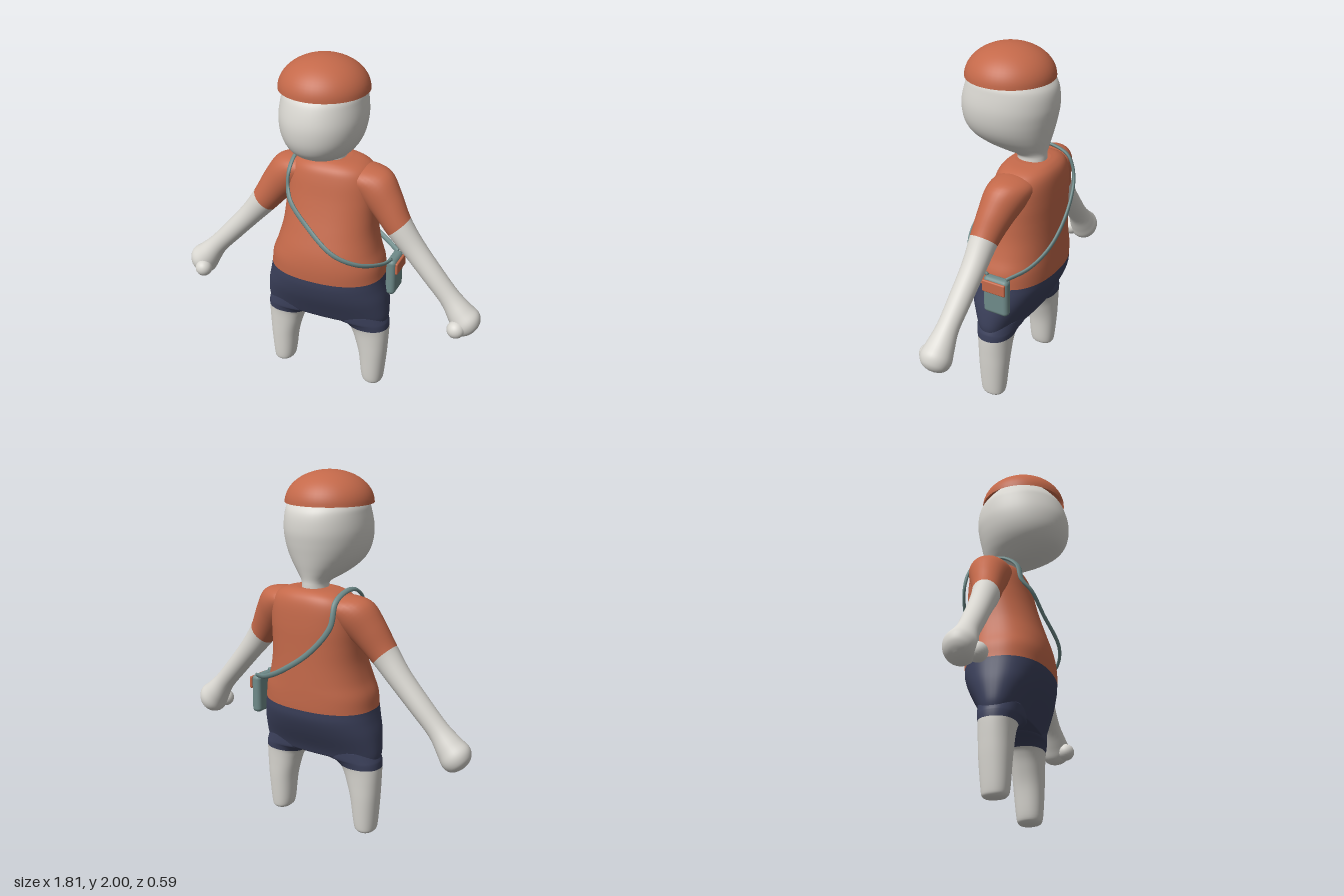
import * as THREE from 'three';
import { RoundedBoxGeometry } from 'three/addons/geometries/RoundedBoxGeometry.js';

const paint = (name, color) => {
  const m = new THREE.MeshStandardMaterial({ color });
  m.name = name;
  return m;
};

// Catmull-Rom smoothing of station rows, `steps` rows per interval
function smoothRows(rows, steps) {
  const out = [];
  for (let i = 0; i < rows.length - 1; i++) {
    const p0 = rows[Math.max(i - 1, 0)], p1 = rows[i], p2 = rows[i + 1];
    const p3 = rows[Math.min(i + 2, rows.length - 1)];
    for (let s = 0; s < steps; s++) {
      const t = s / steps;
      out.push(p1.map((b, k) => {
        const linear = p2[k] - p0[k];
        const square = 2 * p0[k] - 5 * b + 4 * p2[k] - p3[k];
        const cube = 3 * b - p0[k] - 3 * p2[k] + p3[k];
        return b + 0.5 * t * (linear + t * (square + t * cube));
      }));
    }
  }
  out.push(rows[rows.length - 1]);
  return out;
}

// Skin over rings of points; the material changes from 0 to 1 at ring `split`
function skinRings(rings, split = 0) {
  const n = rings[0].length, pos = [], idx = [];
  rings.forEach((r) => r.forEach((p) => pos.push(p.x, p.y, p.z)));
  const ends = [rings[0], rings[rings.length - 1]].map((r) => {
    const c = r.reduce((a, p) => a.add(p), new THREE.Vector3()).divideScalar(n);
    pos.push(c.x, c.y, c.z);
    return pos.length / 3 - 1;
  });
  let cut = 0;
  for (let j = 0; j < n; j++) idx.push(ends[0], (j + 1) % n, j);
  for (let i = 0; i < rings.length - 1; i++) {
    if (i === split) cut = idx.length;
    for (let j = 0; j < n; j++) {
      const a = i * n + j, b = i * n + (j + 1) % n;
      idx.push(a, b, b + n, a, b + n, a + n);
    }
  }
  const last = (rings.length - 1) * n;
  for (let j = 0; j < n; j++) idx.push(ends[1], last + j, last + (j + 1) % n);
  const g = new THREE.BufferGeometry();
  g.setAttribute('position', new THREE.Float32BufferAttribute(pos, 3));
  g.setIndex(idx);
  if (split) {
    g.addGroup(0, cut, 0);
    g.addGroup(cut, idx.length - cut, 1);
  }
  g.computeVertexNormals();
  return g;
}

// Loft of superellipses; station = [x, y, z, radiusU, radiusV, exponent]
const X = new THREE.Vector3(1, 0, 0), BACK = new THREE.Vector3(0, 0, -1);
function loft(stations, { u = X, v = BACK, split = 0, steps = 5, sides = 48 } = {}) {
  const rings = smoothRows(stations, steps).map(([x, y, z, ru, rv, e]) =>
    Array.from({ length: sides }, (_, j) => {
      const a = (j / sides) * Math.PI * 2, c = Math.cos(a), s = Math.sin(a);
      return new THREE.Vector3(x, y, z)
        .addScaledVector(u, ru * Math.sign(c) * Math.pow(Math.abs(c), 2 / e))
        .addScaledVector(v, rv * Math.sign(s) * Math.pow(Math.abs(s), 2 / e));
    }));
  return skinRings(rings, split * steps);
}

// [y, xMin, xMax, zFront, zBack] to a station
const slice = (e, side = 1) => ([y, x0, x1, zf, zb]) =>
  [side * (x0 + x1) / 2, y, (zf + zb) / 2, (x1 - x0) / 2, (zf - zb) / 2, e];
const centred = (e) => ([y, w, zf, zb]) => slice(e)([y, -w, w, zf, zb]);

export function createModel() {
  const skin = paint('skin', 0xd9d7d1);
  const orange = paint('orange cloth', 0xc4694a);
  const navy = paint('navy cloth', 0x3c415c);
  const teal = paint('teal leather', 0x6f8b8a);
  orange.side = THREE.DoubleSide; // the cap is an open shell

  const model = new THREE.Group();
  const add = (name, geometry, material, x = 0, y = 0, z = 0) => {
    const mesh = new THREE.Mesh(geometry, material);
    mesh.name = name;
    mesh.position.set(x, y, z);
    model.add(mesh);
  };

  // Shorts and shirt in one body, changing colour at the waist
  const body = [
    [0.45, 0.365, 0.082, -0.158], [0.5, 0.372, 0.105, -0.18], [0.6, 0.363, 0.15, -0.235],
    [0.68, 0.345, 0.175, -0.27], [0.74, 0.333, 0.183, -0.28], [0.82, 0.323, 0.183, -0.283],
    [0.9, 0.294, 0.17, -0.283], [1.0, 0.27, 0.138, -0.282], [1.1, 0.262, 0.105, -0.282],
    [1.2, 0.26, 0.076, -0.282], [1.3, 0.25, 0.052, -0.276], [1.355, 0.22, 0.032, -0.262],
    [1.385, 0.165, 0, -0.235], [1.397, 0.09, -0.03, -0.205],
  ];
  add('shirtAndShorts', loft(body.map(centred(2.35)), { split: 4, sides: 64 }), [navy, orange]);

  // Head and neck
  const head = [
    [1.37, 0.072, -0.03, -0.195], [1.41, 0.068, -0.03, -0.195], [1.43, 0.076, 0, -0.195],
    [1.45, 0.1, 0.09, -0.198], [1.48, 0.135, 0.175, -0.205], [1.52, 0.172, 0.238, -0.215],
    [1.57, 0.202, 0.27, -0.226], [1.63, 0.221, 0.284, -0.238], [1.7, 0.228, 0.283, -0.247],
    [1.78, 0.22, 0.262, -0.24], [1.83, 0.207, 0.235, -0.212], [1.9, 0.16, 0.17, -0.14],
    [1.96, 0.06, 0.07, -0.05],
  ];
  add('head', loft(head.map(centred(2.1))), skin);

  // Domed cap, open underneath
  const dome = Array.from({ length: 17 }, (_, i) => {
    const a = (i / 16) * Math.PI / 2;
    return new THREE.Vector2(0.24 * Math.cos(a), 0.17 * Math.sin(a));
  });
  add('cap', new THREE.LatheGeometry(dome, 48), orange, 0, 1.83, 0.02);

  const leg = [
    [0, 0.272, 0.318, -0.005, -0.075], [0.012, 0.24, 0.342, 0.022, -0.1],
    [0.05, 0.222, 0.352, 0.035, -0.11], [0.2, 0.203, 0.365, 0.045, -0.124],
    [0.3, 0.177, 0.371, 0.05, -0.13], [0.36, 0.155, 0.374, 0.054, -0.134],
    [0.4, 0.13, 0.375, 0.06, -0.139], [0.43, 0.08, 0.374, 0.07, -0.148],
    [0.45, 0.01, 0.37, 0.08, -0.156], [0.5, 0.01, 0.35, 0.085, -0.16],
  ];
  const arm = [
    [0.1, 1.345, -0.11, 0.03, 0.06, 2], [0.17, 1.315, -0.11, 0.082, 0.115, 2],
    [0.25, 1.265, -0.1, 0.114, 0.115, 2], [0.33, 1.175, -0.08, 0.099, 0.094, 2],
    [0.407, 1.066, -0.06, 0.08, 0.076, 2], [0.5, 0.95, -0.055, 0.066, 0.066, 2],
    [0.62, 0.815, -0.045, 0.06, 0.062, 2], [0.72, 0.705, -0.037, 0.059, 0.06, 2],
    [0.785, 0.625, -0.032, 0.076, 0.076, 2], [0.825, 0.577, -0.03, 0.089, 0.086, 2],
    [0.85, 0.545, -0.03, 0.075, 0.073, 2], [0.864, 0.528, -0.03, 0.047, 0.047, 2],
    [0.87, 0.521, -0.03, 0.012, 0.012, 2],
  ];
  for (const s of [1, -1]) {
    const side = s > 0 ? 'left' : 'right';
    add(side + 'Leg', loft(leg.map(slice(2.2, s)), { split: 6 }), [skin, navy]);
    // Sleeve and bare arm in one limb
    const u = new THREE.Vector3(0.72 * s, 0.694, 0), v = new THREE.Vector3(0, 0, s);
    const stations = arm.map(([x, ...rest]) => [x * s, ...rest]);
    add(side + 'Arm', loft(stations, { u, v, split: 4, sides: 32 }), [orange, skin]);
    add(side + 'Thumb', new THREE.SphereGeometry(0.05, 24, 16), skin, 0.79 * s, 0.558, 0.042);
  }

  // Flat strap looping over the right shoulder to the bag on the left hip
  const path = new THREE.CatmullRomCurve3([
    [0.368, 0.84, -0.06], [0.34, 0.845, 0.01], [0.25, 0.885, 0.135], [0.12, 0.95, 0.19],
    [-0.06, 1.08, 0.15], [-0.16, 1.18, 0.115], [-0.197, 1.24, 0.07], [-0.2, 1.33, 0.045],
    [-0.2, 1.387, -0.03], [-0.2, 1.392, -0.13], [-0.2, 1.35, -0.225], [-0.195, 1.23, -0.265],
    [-0.08, 1.08, -0.29], [0.1, 0.95, -0.289], [0.25, 0.875, -0.243], [0.368, 0.84, -0.17],
  ].map((p) => new THREE.Vector3(...p)));
  const strapRings = Array.from({ length: 121 }, (_, i) => {
    const p = path.getPoint(i / 120), t = path.getTangent(i / 120);
    const out = p.clone().sub(new THREE.Vector3(0, 1.05, -0.06));
    out.addScaledVector(t, -out.dot(t)).normalize();
    const across = t.clone().cross(out);
    return Array.from({ length: 12 }, (_, j) => {
      const a = (j / 12) * Math.PI * 2;
      return p.clone().addScaledVector(out, 0.009 * Math.cos(a))
        .addScaledVector(across, 0.015 * Math.sin(a));
    });
  });
  add('bagStrap', skinRings(strapRings), teal);

  // Hip bag and its flap
  add('bag', new RoundedBoxGeometry(0.058, 0.222, 0.15, 4, 0.024), teal, 0.37, 0.73, -0.115);
  add('bagFlap', new RoundedBoxGeometry(0.016, 0.07, 0.14, 3, 0.007), orange, 0.405, 0.793, -0.115);

  return model;
}
